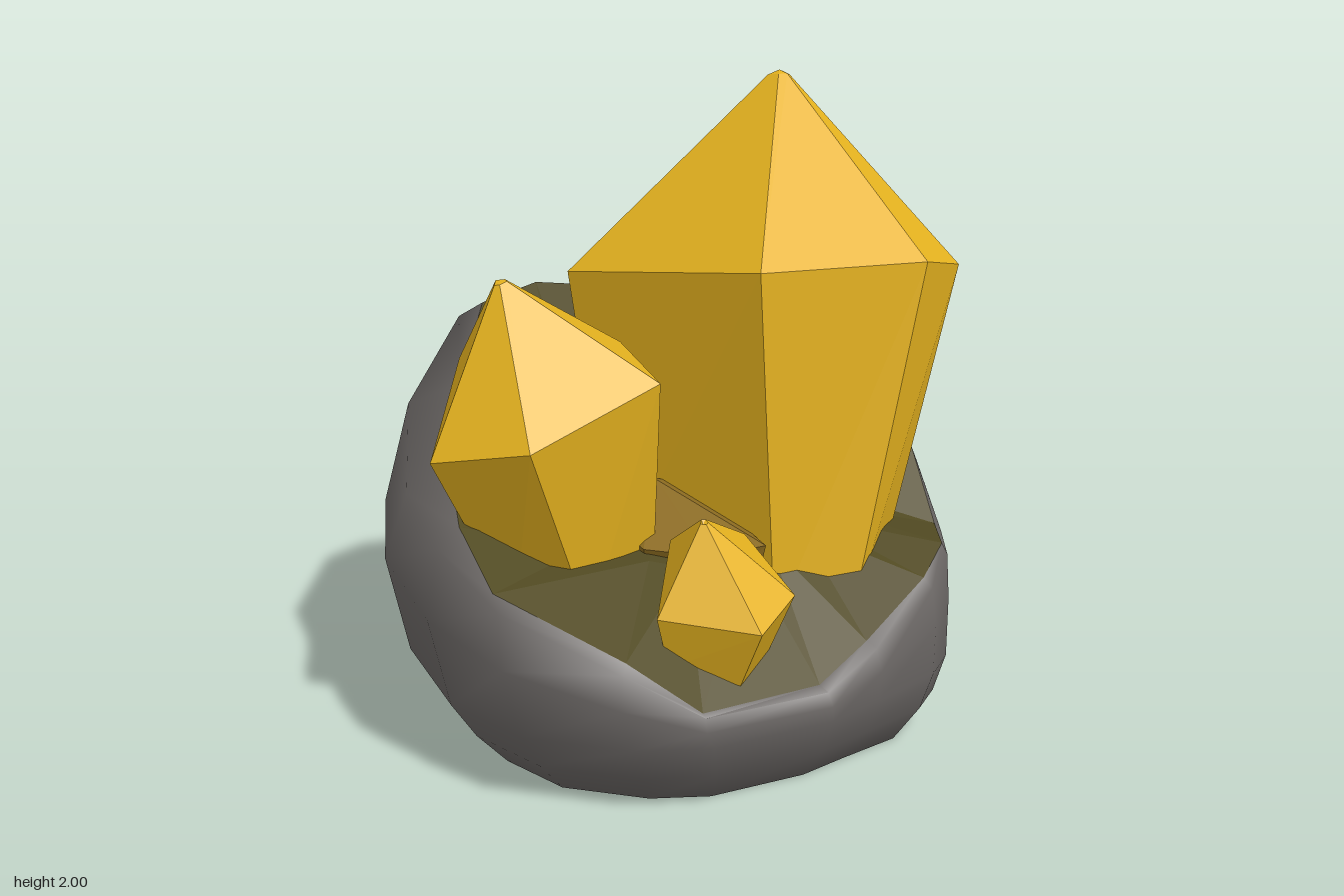
import * as THREE from 'three';
import { toCreasedNormals } from 'three/addons/utils/BufferGeometryUtils.js';

// Skin a stack of closed loops (each a list of [x, y, z], counter-clockwise from above).
function skin(loops) {
  const pos = [];
  const v = p => new THREE.Vector3(...p);
  const tri = (a, b, c) => {
    const area = v(b).sub(v(a)).cross(v(c).sub(v(a))).length();
    if (area > 1e-6) pos.push(...a, ...b, ...c);
  };
  for (let k = 0; k + 1 < loops.length; k++) {
    const lo = loops[k], up = loops[k + 1], n = lo.length;
    for (let i = 0; i < n; i++) {
      const j = (i + 1) % n;
      tri(lo[i], lo[j], up[j]);
      tri(lo[i], up[j], up[i]);
    }
  }
  const g = new THREE.BufferGeometry();
  g.setAttribute('position', new THREE.Float32BufferAttribute(pos, 3));
  g.computeVertexNormals();
  return g;
}

export function createModel() {
  const group = new THREE.Group();
  const mat = (name, color, extra = {}) => {
    const m = new THREE.MeshStandardMaterial({ color, ...extra });
    m.name = name;
    return m;
  };
  const stone = mat('grey stone', 0x6b6765);
  const hollow = mat('dark olive hollow', 0x514a22, { side: THREE.DoubleSide });
  const gold = mat('golden crystal', 0xe5b21f);
  const amber = mat('dull amber', 0x8a6a20);

  const add = (name, geometry, material) => {
    const mesh = new THREE.Mesh(geometry, material);
    mesh.name = name;
    group.add(mesh);
  };

  // Broken rim of the stone, from the front round by the left side
  const rim = [
    [-0.1, 0.34, 0.81], [0.1, 0.42, 0.8], [0.36, 0.55, 0.78], [0.5, 0.61, 0.72],
    [0.7, 0.56, 0.5], [0.82, 0.74, 0.27], [0.84, 0.77, 0], [0.79, 0.9, -0.2],
    [0.68, 1.03, -0.44], [0.5, 1.1, -0.5], [0.32, 1.21, -0.53], [-0.13, 1.3, -0.54],
    [-0.37, 1.28, -0.5], [-0.57, 1.08, -0.35], [-0.74, 0.84, -0.14], [-0.84, 0.79, 0.04],
    [-0.89, 0.67, 0.28], [-0.66, 0.5, 0.6], [-0.5, 0.35, 0.75],
  ];
  // Widest outline of the stone [x, z], one point per rim point
  const outline = [
    [-0.1, 0.87], [0.12, 0.85], [0.38, 0.82], [0.52, 0.74], [0.75, 0.5], [0.85, 0.28],
    [0.89, 0.08], [0.85, -0.15], [0.77, -0.35], [0.68, -0.58], [0.56, -0.68],
    [-0.13, -0.87], [-0.28, -0.85], [-0.7, -0.6], [-0.82, -0.42], [-0.95, 0.02],
    [-0.91, 0.34], [-0.7, 0.63], [-0.5, 0.77],
  ];
  // Lower levels taper in, less so at the front left corner
  const level = (s, y, dz) => outline.map(([x, z]) => {
    const k = s * (1 + 0.9 * (1 - s) * Math.max(0, x) * Math.max(0, z));
    return [x * k, y, z * k + dz];
  });

  // Outer stone: foot, bulging side, shoulder, rim
  const middle = outline.map(([x, z], i) => [x, (0.24 + rim[i][1]) / 2, z]);
  const shoulder = outline.map(([x, z], i) => {
    const [rx, ry, rz] = rim[i];
    return [x * 0.65 + rx * 0.35, 0.24 + 0.9 * (ry - 0.24), z * 0.65 + rz * 0.35];
  });
  const shell = skin([
    level(0, 0, 0.06), level(0.68, 0, 0.065), level(0.755, 0, 0.065), level(0.87, 0.12, 0.06),
    level(0.95, 0.24, 0.04), middle, shoulder, rim,
  ]);
  add('stoneShell', toCreasedNormals(shell, 1.15), stone);

  // Hollow: from the rim to a raised floor
  const floorEdge = rim.map(([x, y, z]) => [x * 0.52, 0.62 + 0.12 * (y - 0.34), z * 0.52]);
  const floorCentre = rim.map(() => [0, 0.68, 0]);
  add('stoneHollow', skin([rim, floorEdge, floorCentre]), hollow);

  // Crystals: buried base, wide belt, pointed tip with a blunt end
  const crystal = (name, tip, belt, base, material = gold) => {
    const blunt = belt.map(p => p.map((c, i) => tip[i] + (c - tip[i]) * 0.055));
    const top = belt.map(() => [tip[0], tip[1] - 0.02, tip[2]]);
    add(name, skin([base, belt, blunt, top]), material);
  };

  crystal('largeCrystal', [0.46, 2.02, -0.02],
    [[0.44, 1.51, 0.67], [0.73, 1.43, 0.53], [0.95, 1.2, -0.2],
      [0.42, 1.27, -0.5], [-0.2, 1.4, -0.27], [-0.04, 1.51, 0.46]],
    [[0.2, 0.4, 0.63], [0.52, 0.4, 0.43], [0.63, 0.4, -0.1],
      [0.36, 0.4, -0.3], [-0.12, 0.4, -0.14], [0, 0.4, 0.5]]);

  crystal('mediumCrystal', [-0.61, 1.495, -0.06],
    [[-0.32, 1.2, 0.34], [-0.18, 1.22, -0.03], [-0.57, 1.17, -0.34],
      [-0.92, 1.0, 0.02], [-0.77, 1.07, 0.31]],
    [[-0.24, 0.45, 0.2], [-0.12, 0.45, -0.05], [-0.45, 0.45, -0.2],
      [-0.64, 0.45, 0.03], [-0.5, 0.45, 0.22]]);

  crystal('smallCrystal', [-0.35, 0.855, 0.57],
    [[-0.34, 0.57, 0.82], [-0.15, 0.62, 0.75], [-0.11, 0.72, 0.48],
      [-0.3, 0.71, 0.36], [-0.53, 0.59, 0.58]],
    [[-0.34, 0.38, 0.73], [-0.18, 0.42, 0.67], [-0.17, 0.42, 0.48],
      [-0.3, 0.42, 0.42], [-0.48, 0.42, 0.57]]);

  // Dull shard wedged between the crystals
  crystal('middleShard', [-0.13, 0.79, 0.06],
    [[-0.04, 0.67, 0.5], [0.04, 0.72, 0.1], [-0.15, 0.74, -0.18],
      [-0.28, 0.71, -0.12], [-0.33, 0.66, 0.27], [-0.2, 0.65, 0.42]],
    [[-0.05, 0.5, 0.46], [0, 0.5, 0.1], [-0.15, 0.5, -0.15],
      [-0.25, 0.5, -0.1], [-0.28, 0.5, 0.24], [-0.18, 0.5, 0.38]], amber);

  return group;
}
